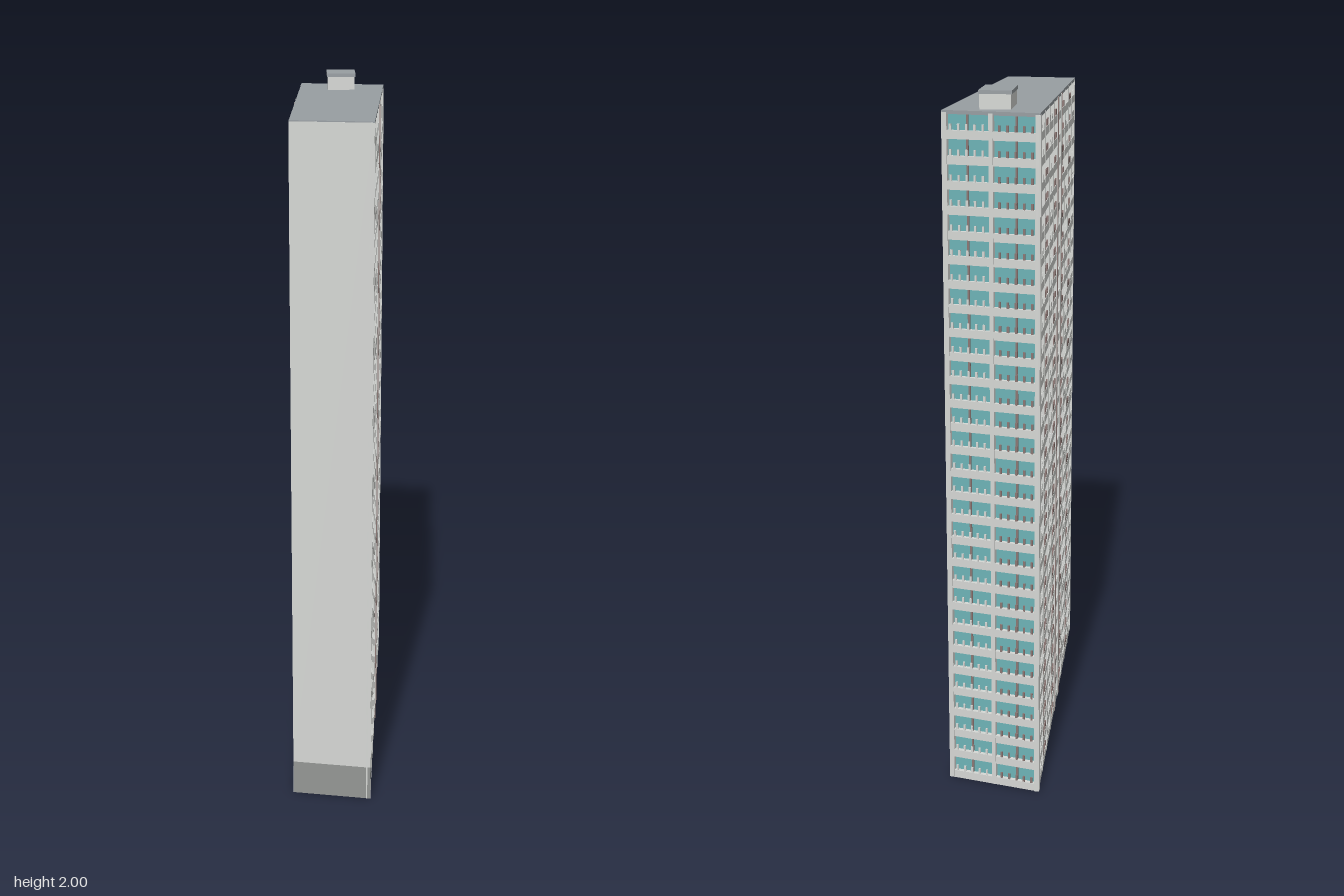
import * as THREE from 'three';
import { mergeGeometries } from 'three/addons/utils/BufferGeometryUtils.js';

const mat = (name, color) => {
  const m = new THREE.MeshStandardMaterial({ color });
  m.name = name;
  return m;
};

// Plan corners [x, z]
const A = [-0.457, -0.398], B = [-0.208, -0.515], C = [0.457, 0.405], D = [0.26, 0.515];
const FLOORS = 29, TOP = 1.95, H = 1.942 / FLOORS, DEPTH = 0.012;

// Point inside the plan: u runs across the slab, v along it
function plan(u, v) {
  return [0, 1].map(i =>
    (A[i] * (1 - u) + B[i] * u) * (1 - v) + (D[i] * (1 - u) + C[i] * u) * v);
}

// Vertical prism over a plan outline
function prism(points, y0, y1) {
  const shape = new THREE.Shape(points.map(p => new THREE.Vector2(p[0], p[1])));
  const g = new THREE.ExtrudeGeometry(shape, { depth: y1 - y0, bevelEnabled: false });
  g.rotateX(Math.PI / 2);
  g.translate(0, y1, 0);
  return g;
}

// Box from its limits
function box(x0, x1, y0, y1, z0, z1) {
  const g = new THREE.BoxGeometry(x1 - x0, y1 - y0, z1 - z0);
  g.translate((x0 + x1) / 2, (y0 + y1) / 2, (z0 + z1) / 2);
  return g;
}

export function createModel() {
  const concrete = mat('concrete', 0xd6d8d5);
  const roofGrey = mat('roof grey', 0x989ea2);
  const glass = mat('teal glass', 0x6eb4b7);
  const brown = mat('brown metal', 0x8c7774);
  const baseGrey = mat('base grey', 0x949795);

  const building = new THREE.Group();
  building.name = 'apartmentTower';
  const add = (parent, name, geometry, material) => {
    const m = new THREE.Mesh(geometry, material);
    m.name = name;
    parent.add(m);
  };

  // Group on a wall line: local x runs along the wall, local z points outward
  function wallGroup(name, P, Q) {
    const dx = Q[0] - P[0], dz = Q[1] - P[1];
    const g = new THREE.Group();
    g.name = name;
    g.position.set(P[0], 0, P[1]);
    g.rotation.y = Math.atan2(-dz, dx);
    building.add(g);
    return [g, Math.hypot(dx, dz)];
  }

  // Recessed glazing, floor plate and roof
  add(building, 'glazedCore',
    prism([plan(0.05, 0.011), plan(0.95, 0.011), plan(0.95, 0.993), plan(0.05, 0.993)], 0.004, 1.942), glass);
  const outline = [A, B, C, D];
  add(building, 'groundSlab', prism(outline, 0, 0.008), concrete);
  add(building, 'roof', prism(outline, 1.94, TOP), roofGrey);

  // Facade with balcony bands, fins, railing posts and window mullions.
  // bays: list of [start, end, kind] as fractions of the wall
  function facade(name, P, Q, bays) {
    const [g, L] = wallGroup(name, P, Q);
    const bands = [], fins = [], piers = [], light = [], dark = [];
    for (let k = 0; k < FLOORS; k++) {
      const y = k * H;
      bands.push(box(0, L, y, y + 0.023, -DEPTH, 0));
      for (const [s, e, kind] of bays) {
        const x0 = s * L, w = (e - s) * L;
        if (kind === 'stair') {
          for (const f of [0.38, 0.62]) {
            const x = x0 + w * f;
            light.push(box(x - 0.004, x + 0.004, y + 0.02, y + H, -DEPTH, -0.004));
          }
          continue;
        }
        // Railing posts in the lower half of each opening
        const posts = kind === 'brownRail' ? dark : light;
        for (let i = 1; i < 6; i++) {
          const x = x0 + w * i / 6;
          posts.push(box(x - 0.003, x + 0.003, y + 0.02, y + 0.04, -0.005, -0.001));
        }
        // Window frame behind the railing
        const x = x0 + w / 2;
        dark.push(box(x - 0.003, x + 0.003, y + 0.02, y + H, -DEPTH, -0.008));
      }
    }
    for (const [s, e, kind] of bays) {
      const x0 = s * L, x1 = e * L;
      fins.push(s === 0 ? box(0, 0.014, 0, TOP - 0.005, -DEPTH, 0.001)
        : box(x0 - 0.006, x0 + 0.006, 0, TOP - 0.005, -DEPTH, 0.001));
      if (e === 1) fins.push(box(x1 - 0.014, x1, 0, TOP - 0.005, -DEPTH, 0.001));
      if (kind === 'stair') {
        // Pale piers with a brown edge strip on either side of the stair windows
        const w = (x1 - x0) * 0.2;
        for (const p of [x0, x1 - w]) piers.push(box(p, p + w, 0, TOP - 0.004, -DEPTH, 0.002));
        for (const p of [x0, x1]) dark.push(box(p - 0.003, p + 0.003, 0, TOP - 0.004, 0, 0.003));
      }
    }
    const parts = [['balconyBands', bands, concrete], ['bayFins', fins, concrete],
      ['stairPiers', piers, concrete], ['lightRailings', light, concrete],
      ['brownFramesAndRailings', dark, brown]];
    for (const [n, list, m] of parts) if (list.length) add(g, n, mergeGeometries(list), m);
  }

  // Four bays, a narrow stair strip, four bays
  function longBays(brownOnes) {
    const bays = [];
    for (let i = 0; i < 4; i++) bays.push([i * 0.111, (i + 1) * 0.111]);
    bays.push([0.444, 0.556, 'stair']);
    for (let i = 0; i < 4; i++) bays.push([0.556 + i * 0.111, 0.556 + (i + 1) * 0.111]);
    bays[8][1] = 1;
    return bays.map((b, i) => b[2] ? b : [b[0], b[1], brownOnes.includes(i) ? 'brownRail' : 'lightRail']);
  }
  facade('leftFacingFacade', A, D, longBays([1, 3, 5, 7]));
  facade('rightFacingFacade', C, B, longBays([3, 8]));
  facade('rearEndFacade', B, A, [[0, 0.5, 'lightRail'], [0.5, 1, 'brownRail']]);

  // Blank end wall with darker base
  const [end, W] = wallGroup('blankEndWall', D, C);
  add(end, 'endWallPanel', box(0, W, 0.1, TOP - 0.003, -DEPTH, 0.001), concrete);
  add(end, 'endWallBase', box(0, W, 0, 0.1, -DEPTH, 0.001), baseGrey);

  // Rooftop plant room
  const plant = new THREE.Group();
  plant.name = 'rooftopPlantRoom';
  plant.position.set(-0.25, 0, -0.345);
  plant.rotation.y = Math.atan2(-0.135, 0.11);
  building.add(plant);
  add(plant, 'plantRoomWalls', box(-0.084, 0.084, TOP - 0.005, 1.992, -0.042, 0.042), concrete);
  add(plant, 'plantRoomRoof', box(-0.087, 0.087, 1.99, 2, -0.045, 0.045), roofGrey);

  return building;
}
